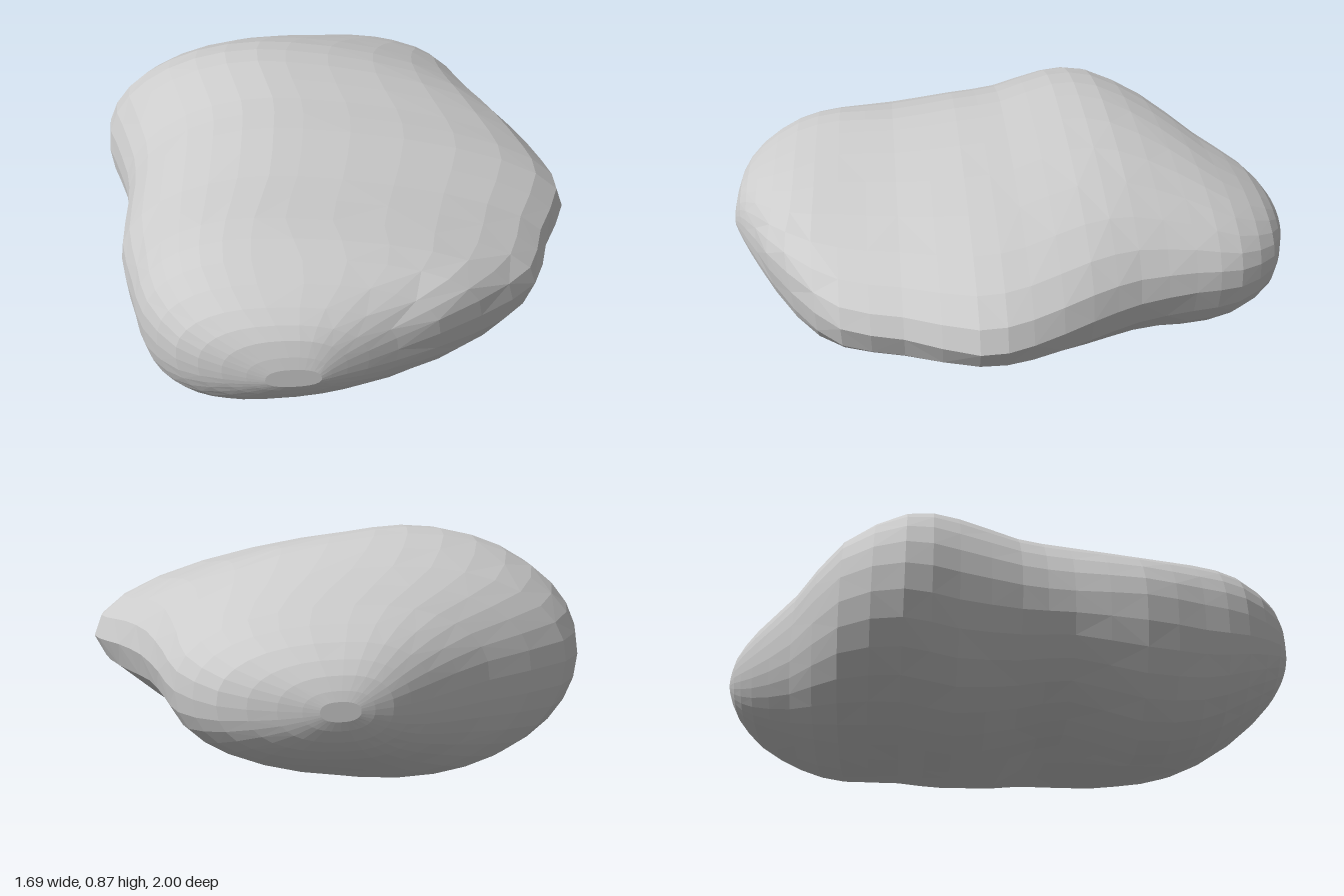
import * as THREE from 'three';

// Cross-sections from back to front:
// z, left x, right x, top y, bottom y, crest x, keel x, left-edge y, right-edge y
const SECTIONS = [
  [-1.0, 0.02, 0.14, 0.46, 0.4, 0.08, 0.08, 0.43, 0.43],
  [-0.97, -0.08, 0.26, 0.53, 0.33, 0.07, 0.07, 0.43, 0.43],
  [-0.89, -0.21, 0.43, 0.61, 0.25, 0.05, 0.03, 0.43, 0.43],
  [-0.74, -0.43, 0.55, 0.69, 0.16, 0.0, -0.05, 0.44, 0.44],
  [-0.57, -0.74, 0.6, 0.78, 0.07, -0.15, -0.18, 0.45, 0.46],
  [-0.37, -0.85, 0.66, 0.86, 0.03, -0.24, -0.28, 0.45, 0.47],
  [-0.2, -0.81, 0.74, 0.87, 0.0, -0.25, -0.3, 0.45, 0.47],
  [0.0, -0.75, 0.82, 0.83, 0.05, -0.2, -0.28, 0.45, 0.45],
  [0.17, -0.73, 0.84, 0.81, 0.09, -0.2, -0.3, 0.45, 0.44],
  [0.4, -0.73, 0.73, 0.77, 0.01, -0.22, -0.34, 0.45, 0.44],
  [0.6, -0.68, 0.65, 0.75, 0.04, -0.27, -0.35, 0.45, 0.44],
  [0.76, -0.63, 0.44, 0.71, 0.14, -0.28, -0.33, 0.45, 0.45],
  [0.9, -0.52, 0.16, 0.64, 0.26, -0.24, -0.26, 0.45, 0.45],
  [0.97, -0.38, 0.0, 0.57, 0.35, -0.19, -0.19, 0.45, 0.45],
  [1.0, -0.25, -0.08, 0.48, 0.41, -0.17, -0.17, 0.44, 0.44],
];
// Local swellings and dents: centre x, y, z, radius, push x, y, z
const SWELLS = [
  [0.33, 0.52, 0.76, 0.11, 0, 0.025, 0.03], // knob on the front shoulder
  [0.05, 0.1, 0.42, 0.28, 0, 0.08, 0], // hollow under the front lobe
];
const SIDES = 32;
const STEPS = 2; // rings per gap between sections
const { lerp, smoothstep, clamp } = THREE.MathUtils;

// Smooth curve through the sections, one value at a time
function sectionAt(t) {
  const last = SECTIONS.length - 1;
  const i = Math.min(Math.floor(t), last - 1);
  const f = t - i;
  const row = (k) => SECTIONS[clamp(k, 0, last)];
  return SECTIONS[0].map((_, c) => {
    const [a, b, d, e] = [row(i - 1)[c], row(i)[c], row(i + 1)[c], row(i + 2)[c]];
    return b + 0.5 * f * (d - a + f * (2 * a - 5 * b + 4 * d - e + f * (3 * (b - d) + e - a)));
  });
}

// One ring point: four quarter curves; mid-body the right ones taper to a blunt tip
function ringPoint([z, xL, xR, yT, yB, xT, xB, yL, yR], angle) {
  const c = Math.cos(angle), n = Math.sin(angle);
  const right = c >= 0, up = n >= 0;
  const wedge = smoothstep(z, -0.85, -0.1) * (1 - smoothstep(z, 0.55, 0.85));
  const full = lerp(2.05, 2.35, smoothstep(Math.abs(z), 0.45, 0.85));
  const taper = right ? lerp(full, up ? 1.4 : 1.1, wedge) : full;
  const u = Math.pow(Math.abs(c), 2 / taper);
  const v = Math.pow(Math.abs(n), 2 / full);
  const cx = up ? xT : xB, cy = right ? yR : yL;
  const p = new THREE.Vector3(
    cx + u * ((right ? xR : xL) - cx),
    cy + v * ((up ? yT : yB) - cy),
    z
  );
  for (const [x, y, zc, radius, px, py, pz] of SWELLS) {
    const d = Math.hypot(p.x - x, p.y - y, p.z - zc) / radius;
    p.addScaledVector(new THREE.Vector3(px, py, pz), Math.exp(-d * d));
  }
  return p;
}

export function createModel() {
  const group = new THREE.Group();
  const positions = [], index = [];
  const rings = (SECTIONS.length - 1) * STEPS + 1;

  for (let r = 0; r < rings; r++) {
    const s = sectionAt(r / STEPS);
    for (let j = 0; j < SIDES; j++) {
      positions.push(...ringPoint(s, (j / SIDES) * Math.PI * 2).toArray());
    }
  }
  // centre points closing both ends
  const back = rings * SIDES, front = back + 1;
  positions.push(0.08, 0.43, -1, -0.17, 0.44, 1);

  for (let j = 0; j < SIDES; j++) {
    const k = (j + 1) % SIDES;
    for (let r = 0; r < rings - 1; r++) {
      const a = r * SIDES + j, b = r * SIDES + k;
      const c = a + SIDES, d = b + SIDES;
      if ((r + j) % 2) index.push(a, b, c, b, d, c);
      else index.push(a, b, d, a, d, c);
    }
    const end = (rings - 1) * SIDES;
    index.push(back, k, j, front, end + j, end + k);
  }

  const geometry = new THREE.BufferGeometry();
  geometry.setAttribute('position', new THREE.Float32BufferAttribute(positions, 3));
  geometry.setIndex(index);
  geometry.computeVertexNormals();

  const boulder = new THREE.Mesh(
    geometry,
    new THREE.MeshStandardMaterial({ color: 0xcccccc, flatShading: true })
  );
  boulder.name = 'boulder';
  group.add(boulder);
  return group;
}
